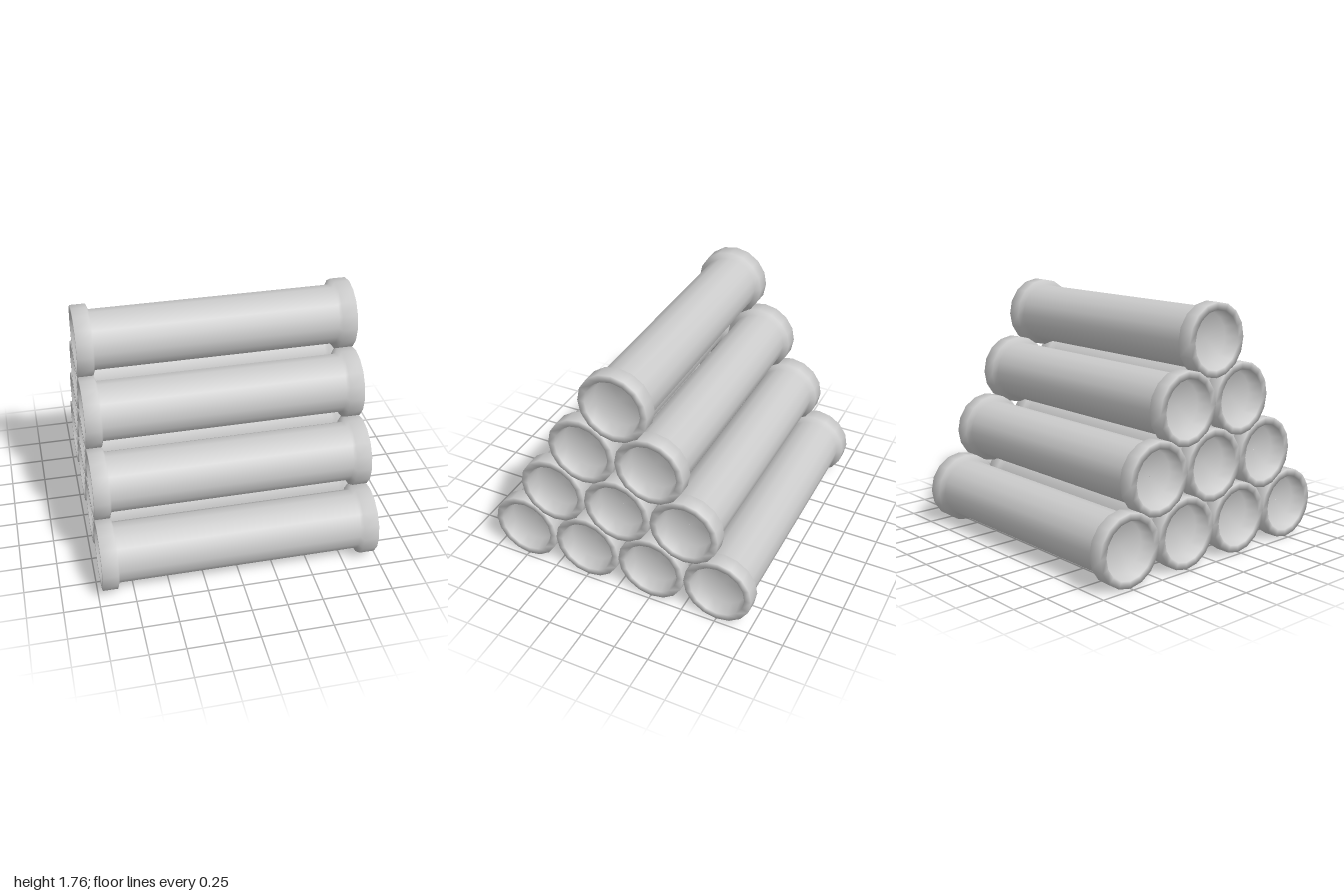
import * as THREE from 'three';

const SIDES = 16, RIM = 0.25, BODY = 0.21, HALF = 0.97, ROW_STEP = 0.42;

// Revolved profile of one pipe: [radius, position along the axis]
function pipeGeometry() {
  const end = [
    [0.001, 0.87], [0.18, 0.87], [0.2, HALF], // recessed mouth
    [RIM, HALF], [RIM, 0.865], [BODY, 0.85],  // collar down to the body
  ];
  const top = end.map(([r, y]) => new THREE.Vector2(r, y));
  const bottom = end.map(([r, y]) => new THREE.Vector2(r, -y)).reverse();
  const geometry = new THREE.LatheGeometry([...bottom.reverse(), ...top.reverse()], SIDES);
  geometry.rotateZ(-Math.PI / 2);
  return geometry;
}

export function createModel() {
  const group = new THREE.Group();
  group.name = 'pipeStack';
  const material = new THREE.MeshStandardMaterial({ color: 0xcccccc });
  const geometry = pipeGeometry();

  // Rows of four, three, two and one, each resting in the gaps below
  for (let row = 0; row < 4; row++) {
    const count = 4 - row;
    for (let i = 0; i < count; i++) {
      const pipe = new THREE.Mesh(geometry, material);
      pipe.name = `pipeRow${row + 1}Number${i + 1}`;
      pipe.position.set(0, RIM + row * ROW_STEP, (i - (count - 1) / 2) * 2 * RIM);
      group.add(pipe);
    }
  }
  return group;
}
